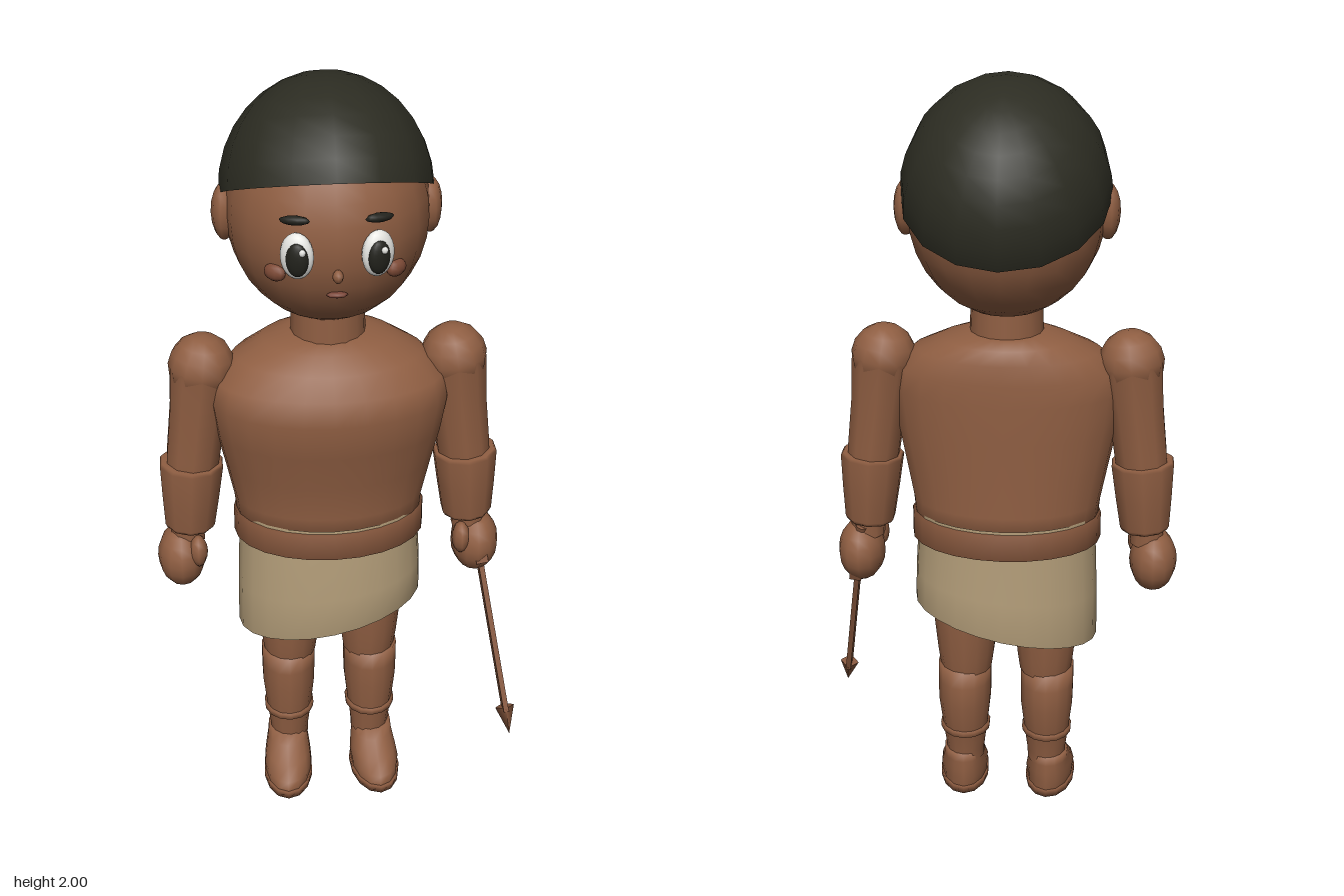
import * as THREE from 'three';

const mat = (name, color, side = THREE.FrontSide) => {
  const m = new THREE.MeshStandardMaterial({ color, side });
  m.name = name;
  return m;
};

// Closed skin through elliptical rings, each [y, halfWidth, zFront, zBack]
function loft(rings, sides = 20) {
  const pos = [], idx = [];
  rings.forEach(([y, rx, zf, zb], i) => {
    for (let j = 0; j < sides; j++) {
      const a = (j / sides) * Math.PI * 2;
      pos.push(rx * Math.sin(a), y, (zf + zb) / 2 + ((zf - zb) / 2) * Math.cos(a));
      if (i === rings.length - 1) continue;
      const k = (j + 1) % sides, p = i * sides, q = p + sides;
      idx.push(p + j, p + k, q + k, p + j, q + k, q + j);
    }
  });
  const g = new THREE.BufferGeometry();
  g.setAttribute('position', new THREE.Float32BufferAttribute(pos, 3));
  g.setIndex(idx);
  g.computeVertexNormals();
  return g;
}

const lathe = (pts, sides = 10) =>
  new THREE.LatheGeometry(pts.map(([r, y]) => new THREE.Vector2(r, y)), sides);

export function createModel() {
  const skin = mat('skin', 0x8f5e42);
  const leather = mat('leather', 0x85563c);
  const hair = mat('hair', 0x2c2c22, THREE.DoubleSide);
  const cloth = mat('cloth', 0xb39d79, THREE.DoubleSide);
  const white = mat('eyeWhite', 0xe6e6e2);
  const dark = mat('iris', 0x22221c);
  const blush = mat('blush', 0x7d4a36);
  const lip = mat('lip', 0x7a4638);

  const model = new THREE.Group();
  const body = new THREE.Group();
  body.name = 'body';
  body.position.x = -0.015;
  model.add(body);

  const add = (name, geo, material, x = 0, y = 0, z = 0, parent = body) => {
    const m = new THREE.Mesh(geo, material);
    m.name = name;
    m.position.set(x, y, z);
    parent.add(m);
    return m;
  };
  const blob = (name, material, x, y, z, rx, ry, rz, w = 16, h = 12) => {
    const m = add(name, new THREE.SphereGeometry(1, w, h), material, x, y, z);
    m.scale.set(rx, ry, rz);
    return m;
  };

  // Head and tilted cap of hair
  blob('head', skin, 0, 1.68, -0.005, 0.245, 0.27, 0.262, 20, 16);
  const cap = add('hair', new THREE.SphereGeometry(1, 16, 8, 0, Math.PI * 2, 0, Math.PI / 2), hair, 0, 1.72, -0.02);
  cap.scale.set(0.258, 0.277, 0.295);
  cap.rotation.x = -0.42;
  add('neck', new THREE.CylinderGeometry(0.09, 0.095, 0.12, 16), skin, 0, 1.385, 0);

  // Face
  blob('nose', skin, 0, 1.62, 0.258, 0.013, 0.016, 0.016, 8, 6);
  blob('mouth', lip, 0, 1.565, 0.236, 0.026, 0.007, 0.012, 8, 6);
  for (const s of [-1, 1]) {
    blob('ear', skin, s * 0.247, 1.675, -0.015, 0.03, 0.07, 0.047, 10, 8);
    blob('eye', white, s * 0.092, 1.67, 0.246, 0.04, 0.056, 0.024).rotation.y = s * 0.35;
    blob('iris', dark, s * 0.093, 1.667, 0.262, 0.027, 0.041, 0.015).rotation.y = s * 0.35;
    blob('eyeHighlight', white, s * 0.093 + 0.011, 1.688, 0.274, 0.008, 0.009, 0.006, 8, 6);
    const brow = blob('eyebrow', dark, s * 0.096, 1.752, 0.236, 0.037, 0.011, 0.012, 10, 6);
    brow.rotation.set(0, s * 0.4, s * -0.06);
    blob('cheek', blush, s * 0.14, 1.612, 0.202, 0.029, 0.021, 0.016, 10, 8).rotation.y = s * 0.65;
  }

  // Torso, belt and slanted wrap
  add('torso', loft([
    [0.8, 0, 0, 0], [0.8, 0.235, 0.16, -0.145], [0.9, 0.245, 0.163, -0.145],
    [1.0, 0.265, 0.177, -0.143], [1.1, 0.286, 0.202, -0.145], [1.2, 0.3, 0.222, -0.145],
    [1.26, 0.29, 0.205, -0.143], [1.31, 0.235, 0.165, -0.138], [1.345, 0.165, 0.12, -0.125],
    [1.365, 0.1, 0.09, -0.1], [1.37, 0, 0, 0],
  ], 24), skin);
  add('belt', loft([
    [0.79, 0.23, 0.16, -0.145], [0.79, 0.248, 0.18, -0.165],
    [0.86, 0.248, 0.18, -0.165], [0.86, 0.23, 0.16, -0.145],
  ], 24), leather);
  const wrap = loft([
    [0.868, 0.238, 0.167, -0.153], [0.78, 0.236, 0.172, -0.155],
    [0.66, 0.242, 0.18, -0.16], [0.55, 0.244, 0.18, -0.164], [0.55, 0.225, 0.162, -0.146],
    [0.7, 0.22, 0.155, -0.14],
  ].reverse(), 24);
  const wp = wrap.attributes.position;
  for (let i = 0; i < wp.count; i++) {
    const drop = wp.getY(i) < 0.56 ? 0.2 : wp.getY(i) < 0.67 ? 0.1 : 0;
    wp.setY(i, wp.getY(i) + drop * wp.getX(i));
  }
  wrap.computeVertexNormals();
  add('wrap', wrap, cloth);

  for (const s of [-1, 1]) {
    // Arm, built downward from the shoulder
    const arm = new THREE.Group();
    arm.name = 'arm';
    arm.position.set(s * 0.315, 1.28, 0.012);
    arm.rotation.z = s * 0.125;
    body.add(arm);
    add('shoulder', new THREE.SphereGeometry(0.084, 12, 8), skin, 0, 0, 0, arm);
    add('upperArm', lathe([[0.066, -0.32], [0.07, -0.25], [0.073, -0.12], [0.083, 0]]), skin, 0, 0, 0, arm);
    const cuff = add('forearm', lathe([
      [0, -0.095], [0.062, -0.095], [0.067, -0.085], [0.076, 0], [0.084, 0.09], [0.078, 0.097], [0, 0.097],
    ]), skin, s * 0.358, 0.913, 0.014);
    cuff.rotation.z = s * 0.06;
    add('wrist', new THREE.CylinderGeometry(0.045, 0.045, 0.06, 10), skin, s * 0.37, 0.805, 0.014);
    blob('hand', skin, s * 0.389, 0.725, 0.015, 0.063, 0.086, 0.08, 12, 10);
    blob('thumb', skin, s * 0.345, 0.76, 0.06, 0.024, 0.045, 0.032, 8, 8);

    // Leg, with knee seam and ankle band
    add('thigh', loft([
      [0.39, 0.07, 0.078, -0.072], [0.44, 0.077, 0.086, -0.08],
      [0.55, 0.088, 0.096, -0.09], [0.7, 0.094, 0.1, -0.095], [0.8, 0.09, 0.1, -0.095],
    ], 14), skin, s * 0.108);
    add('shin', loft([
      [0.1, 0.052, 0.064, -0.048], [0.13, 0.053, 0.065, -0.05], [0.2, 0.062, 0.075, -0.064],
      [0.29, 0.072, 0.085, -0.086], [0.35, 0.073, 0.085, -0.08], [0.4, 0.073, 0.082, -0.074],
      [0.405, 0, 0, 0],
    ], 14), skin, s * 0.113);
    add('ankleBand', loft([
      [0.185, 0.058, 0.07, -0.06], [0.19, 0.068, 0.08, -0.068],
      [0.205, 0.069, 0.081, -0.07], [0.21, 0.06, 0.073, -0.063],
    ], 14), skin, s * 0.113);
    add('foot', loft([
      [0.02, 0.064, 0.183, -0.052], [0.045, 0.066, 0.178, -0.055], [0.07, 0.062, 0.14, -0.055],
      [0.1, 0.056, 0.085, -0.054], [0.125, 0.054, 0.066, -0.052], [0.127, 0, 0, 0],
    ], 14), skin, s * 0.118).rotation.y = s * 0.06;
    add('sole', loft([
      [0, 0, 0.06, 0.06], [0, 0.068, 0.19, -0.057], [0.02, 0.068, 0.19, -0.057], [0.02, 0, 0.06, 0.06],
    ], 14), leather, s * 0.118).rotation.y = s * 0.06;
  }

  // Slim pointed blade held low in the left hand
  const blade = new THREE.Group();
  blade.name = 'blade';
  const from = new THREE.Vector3(0.385, 0.69, 0.025), to = new THREE.Vector3(0.463, 0.2, 0.205);
  const dir = to.clone().sub(from), len = dir.length();
  blade.position.copy(from);
  blade.quaternion.setFromUnitVectors(new THREE.Vector3(0, -1, 0), dir.normalize());
  model.add(blade);
  add('handle', new THREE.CylinderGeometry(0.018, 0.018, 0.14, 8), leather, 0, 0.06, 0, blade);
  add('guard', new THREE.BoxGeometry(0.032, 0.03, 0.13), leather, 0, -0.005, 0, blade);
  add('shaft', new THREE.BoxGeometry(0.014, len - 0.07, 0.048), leather, 0, -(len - 0.07) / 2, 0, blade);
  const tip = add('tip', new THREE.ConeGeometry(0.026, 0.08, 4), leather, 0, -len + 0.04, 0, blade);
  tip.rotation.x = Math.PI;

  return model;
}
